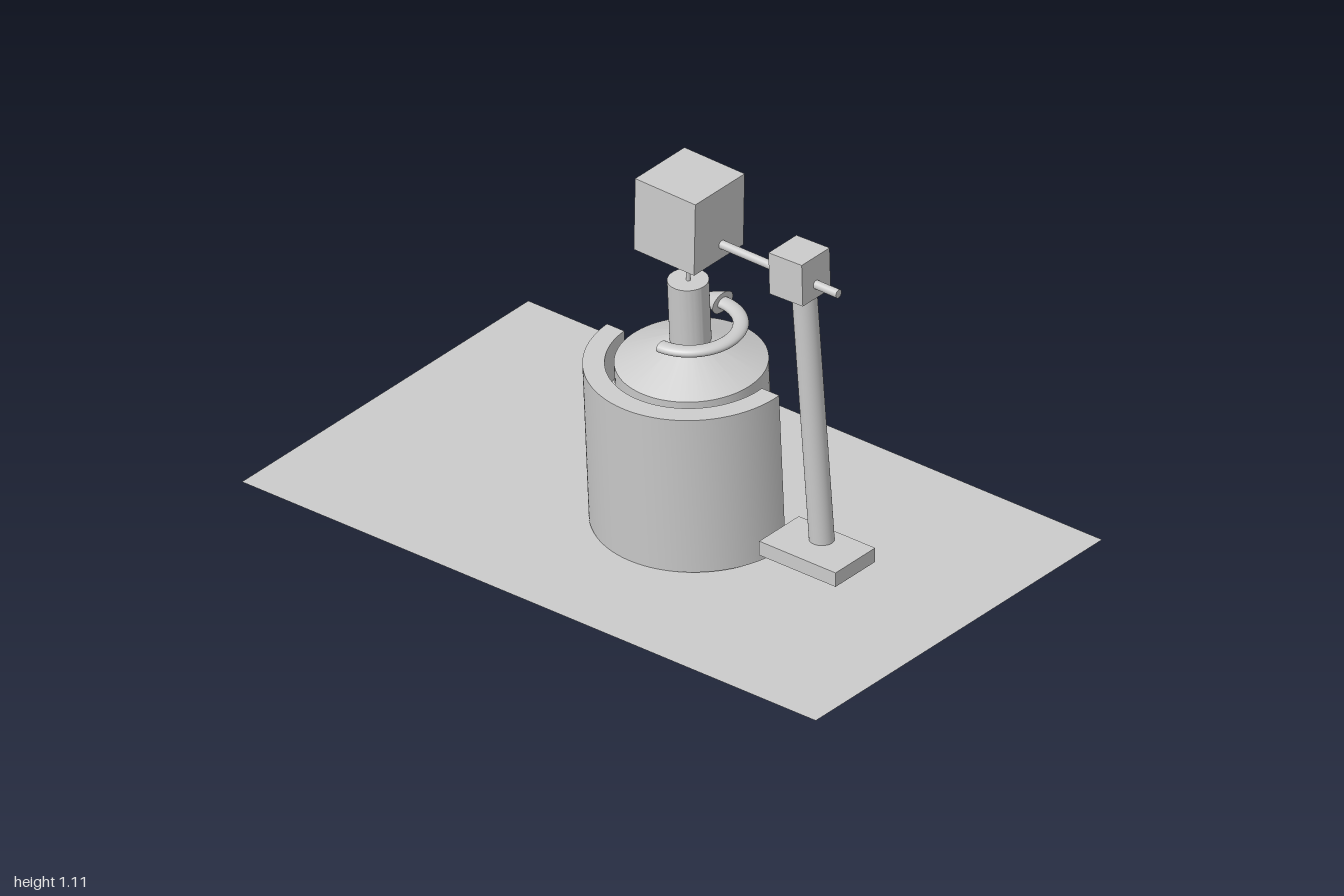
import * as THREE from 'three';
import { toCreasedNormals } from 'three/addons/utils/BufferGeometryUtils.js';

const TILT = 0.056;

export function createModel() {
  const model = new THREE.Group();
  const grey = new THREE.MeshStandardMaterial({ color: 0xcccccc });
  const thin = new THREE.MeshStandardMaterial({ color: 0xcccccc, side: THREE.DoubleSide });

  const add = (name, geometry, position = [0, 0, 0], parent = model, material = grey) => {
    const mesh = new THREE.Mesh(geometry, material);
    mesh.name = name;
    mesh.position.set(...position);
    parent.add(mesh);
    return mesh;
  };
  const box = (name, size, position) => add(name, new THREE.BoxGeometry(...size), position);

  // Round bar running from one point to another
  const bar = (name, from, to, radius) => {
    const a = new THREE.Vector3(...from), b = new THREE.Vector3(...to);
    const direction = b.clone().sub(a);
    const mesh = add(name, new THREE.CylinderGeometry(radius, radius, direction.length(), 32),
      a.clone().add(b).multiplyScalar(0.5).toArray());
    mesh.quaternion.setFromUnitVectors(new THREE.Vector3(0, 1, 0), direction.normalize());
    return mesh;
  };
  const lathe = (profile, start, length) => toCreasedNormals(new THREE.LatheGeometry(
    profile.map(([r, y]) => new THREE.Vector2(r, y)), 72, start, length), 0.4);

  // Ground sheet
  add('groundSheet', new THREE.PlaneGeometry(1.23, 2).rotateX(-Math.PI / 2), [0, 0.003, 0], model, thin);

  // Leaning assembly: cut-open cup, spindle and rotation arrow
  const assembly = new THREE.Group();
  assembly.name = 'leaningAssembly';
  assembly.position.set(0.018, 0.02, 0.078);
  assembly.rotation.z = TILT;
  model.add(assembly);

  // Half cup filled with liquid up to a level below its rim
  const cup = [[0, 0], [0.3, 0], [0.3, 0.492], [0.24, 0.492], [0.24, 0.37], [0, 0.37]];
  add('halfCup', lathe(cup, Math.PI, Math.PI), [0.004, 0, 0], assembly);
  const section = new THREE.Shape([
    ...cup.map(([r, y]) => new THREE.Vector2(r, y)),
    ...cup.slice(1, -1).reverse().map(([r, y]) => new THREE.Vector2(-r, y)),
  ]);
  add('cupCutFace', new THREE.ShapeGeometry(section).rotateY(Math.PI / 2), [0.004, 0, 0], assembly);

  // Spindle with shallow conical bottom, sloping shoulder and neck
  const spindle = [[0, 0.06], [0.21, 0.083], [0.21, 0.496], [0.057, 0.566], [0.057, 0.756], [0, 0.756]];
  add('spindle', lathe(spindle, 0, Math.PI * 2), [-0.003, 0, 0], assembly);

  // Flattened half-ring arrow around the neck
  const arrow = new THREE.Group();
  arrow.name = 'rotationArrow';
  arrow.position.set(0.005, 0.606, 0);
  arrow.scale.y = 0.66;
  assembly.add(arrow);
  const R = 0.133, r = 0.022;
  add('arrowRing', new THREE.TorusGeometry(R, r, 20, 48, Math.PI).rotateX(Math.PI / 2), [0, 0, 0], arrow);
  add('arrowTail', new THREE.CircleGeometry(r, 20).rotateY(Math.PI), [-R, 0, 0], arrow);
  add('arrowHead', new THREE.ConeGeometry(0.044, 0.09, 32).rotateX(-Math.PI / 2), [R, 0, -0.045], arrow);

  // Drive shaft and motor housing
  bar('driveShaft', [-0.028, 0.77, 0.08], [-0.034, 0.9, 0.082], 0.006);
  const housing = box('motorHousing', [0.212, 0.225, 0.21], [-0.043, 1.002, 0.095]);
  housing.rotation.x = 0.02;

  // Stand: foot, leaning pole, clamp block and support rod
  box('standFoot', [0.17, 0.044, 0.266], [-0.021, 0.081, 0.523]);
  bar('standPole', [0.01, 0.09, 0.515], [-0.021, 0.9, 0.477], 0.035);
  const clamp = box('clampBlock', [0.12, 0.128, 0.116], [-0.03, 0.95, 0.469]);
  clamp.rotation.x = -0.03;
  bar('supportRod', [-0.031, 0.929, 0.606], [-0.031, 0.932, 0.18], 0.0125);

  return model;
}
